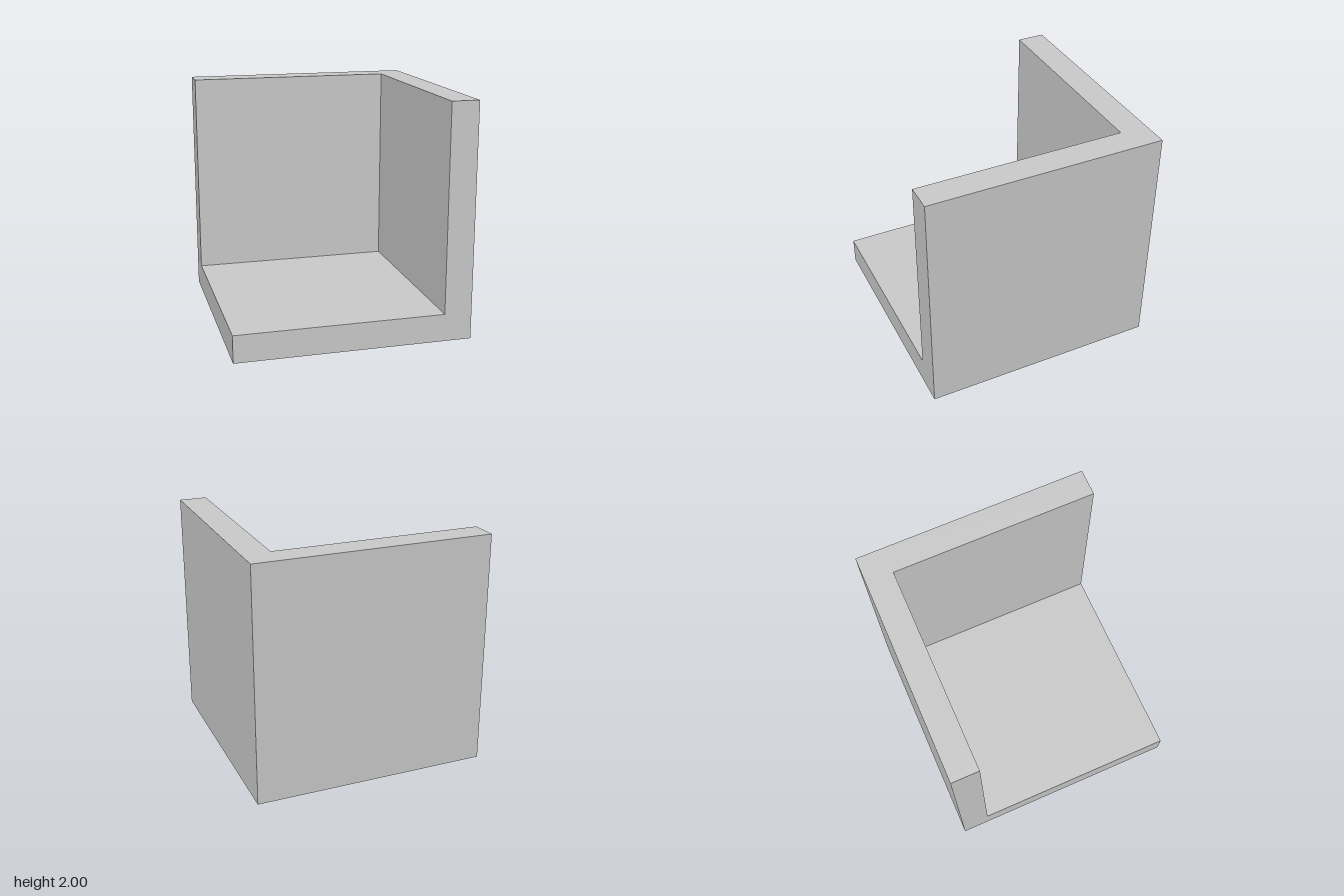
import * as THREE from 'three';

const SIZE = 2;
const WALL = 0.235; // thickness of the floor and both walls

export function createModel() {
  const group = new THREE.Group();
  group.name = 'cornerBracket';

  // Cube split once per axis, with the split moved to the inner wall planes
  const inner = new THREE.Vector3(1 - WALL, WALL - 1, WALL - 1);
  const geometry = new THREE.BoxGeometry(SIZE, SIZE, SIZE, 2, 2, 2).toNonIndexed();
  const pos = geometry.attributes.position;
  const normal = geometry.attributes.normal;
  const axes = ['x', 'y', 'z'];
  const open = new THREE.Vector3(-1, 1, 1); // corner that is cut away

  for (let i = 0; i < pos.count; i += 3) {
    const corners = [0, 1, 2].map((k) => new THREE.Vector3().fromBufferAttribute(pos, i + k));
    const n = new THREE.Vector3().fromBufferAttribute(normal, i);
    // Panels on the open side of every axis are pushed in to line the hollow
    const hollow = axes.every((a) => corners.every((c) => c[a] * open[a] > -0.01));
    corners.forEach((c, k) => {
      for (const a of axes) {
        const facing = Math.abs(n[a]) > 0.5;
        if (Math.abs(c[a]) < 0.01 || (facing && hollow)) c[a] = inner[a];
      }
      pos.setXYZ(i + k, c.x, c.y, c.z);
    });
  }

  // Floor, back wall and left wall as one closed solid
  const body = new THREE.Mesh(
    geometry,
    new THREE.MeshStandardMaterial({ color: 0xcccccc, flatShading: true })
  );
  body.name = 'floorAndWalls';
  body.position.y = SIZE / 2;
  group.add(body);

  return group;
}
